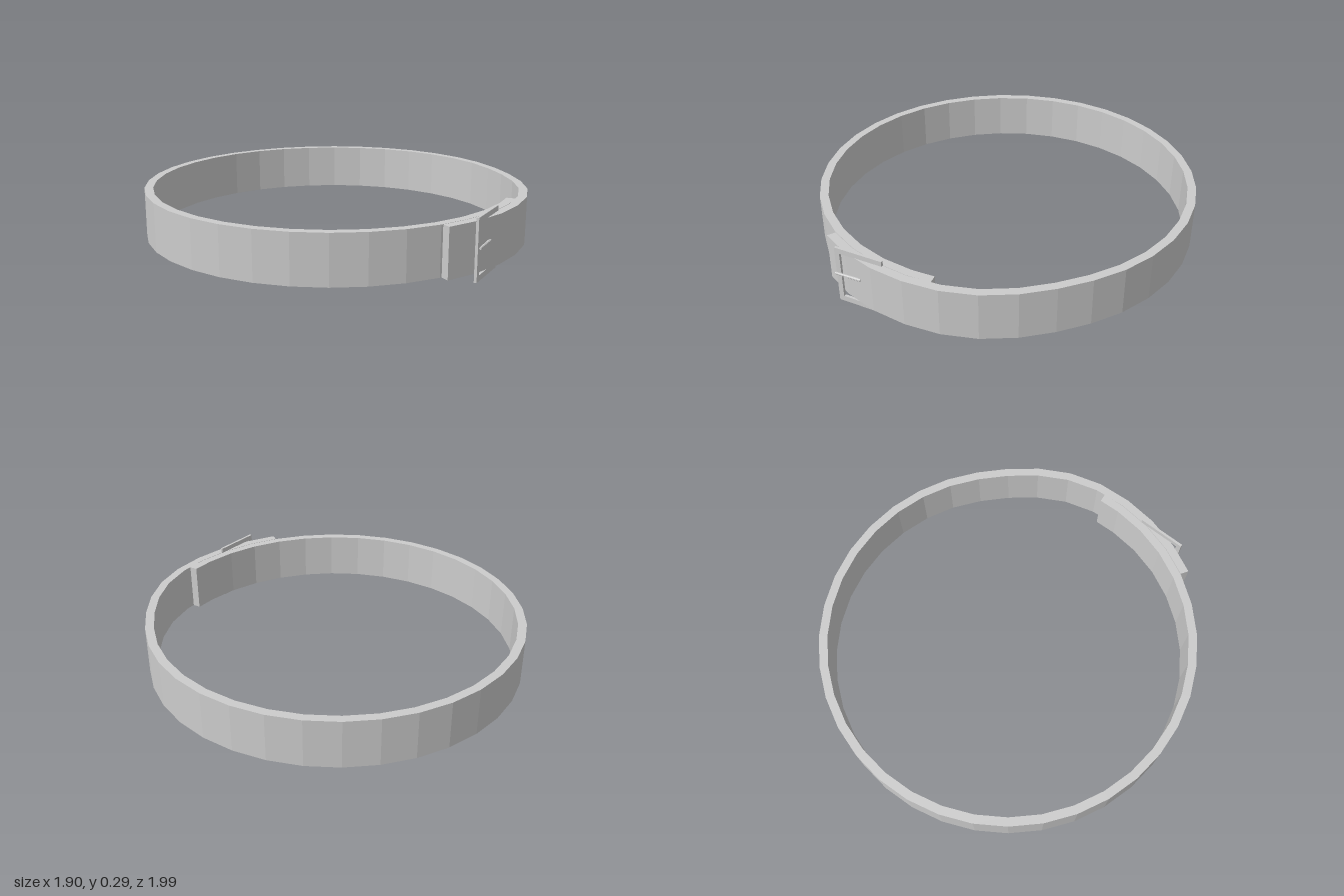
import * as THREE from 'three';

export function createModel() {
  const group = new THREE.Group();
  group.name = 'buckledBelt';
  const material = new THREE.MeshStandardMaterial({ color: 0xcccccc, flatShading: true });
  const add = (name, geometry) => {
    const mesh = new THREE.Mesh(geometry, material);
    mesh.name = name;
    group.add(mesh);
    return mesh;
  };

  // Strap: one faceted loop whose outer end overlaps the inner end at the front
  const centreZ = -0.045, thickness = 0.043;
  const angles = [22];
  for (let a = 15; a >= -365; a -= 10) angles.push(a);
  angles.push(-374.5);
  const outerRadius = (a) => 0.955 + 0.045 * THREE.MathUtils.smoothstep(-a, 295, 335);
  const point = (a, r) => {
    const t = THREE.MathUtils.degToRad(a);
    return new THREE.Vector2(r * Math.sin(t), -(centreZ + r * Math.cos(t)));
  };
  const outline = [
    ...angles.map((a) => point(a, outerRadius(a))),
    ...angles.slice().reverse().map((a) => point(a, outerRadius(a) - thickness)),
  ];
  const strap = new THREE.ExtrudeGeometry(new THREE.Shape(outline), { depth: 0.24, bevelEnabled: false });
  strap.rotateX(-Math.PI / 2).translate(0, 0.03, 0);
  add('strap', strap);

  // Buckle frame: tilted so one bar lies over the strap end and the other between the layers
  const rectangle = (Type, w, h) => new Type([
    new THREE.Vector2(-w / 2, -h / 2), new THREE.Vector2(w / 2, -h / 2),
    new THREE.Vector2(w / 2, h / 2), new THREE.Vector2(-w / 2, h / 2),
  ]);
  const frameShape = rectangle(THREE.Shape, 0.25, 0.295);
  frameShape.holes.push(rectangle(THREE.Path, 0.2, 0.24));
  const frame = new THREE.ExtrudeGeometry(frameShape, { depth: 0.013, bevelEnabled: false });
  frame.translate(0, 0, -0.0065);
  const buckle = add('buckleFrame', frame);
  buckle.position.set(-0.003, 0.1475, 0.94);
  buckle.rotation.y = 0.283;

  // Prong: thin tapered pin leaving the strap and resting on the outer bar
  const start = new THREE.Vector3(0.01, 0.16, 0.95);
  const end = new THREE.Vector3(-0.118, 0.16, 0.991);
  const direction = end.clone().sub(start);
  const prong = add('prong', new THREE.CylinderGeometry(0.006, 0.008, direction.length(), 8));
  prong.position.copy(start).add(end).multiplyScalar(0.5);
  prong.quaternion.setFromUnitVectors(new THREE.Vector3(0, 1, 0), direction.normalize());

  return group;
}
